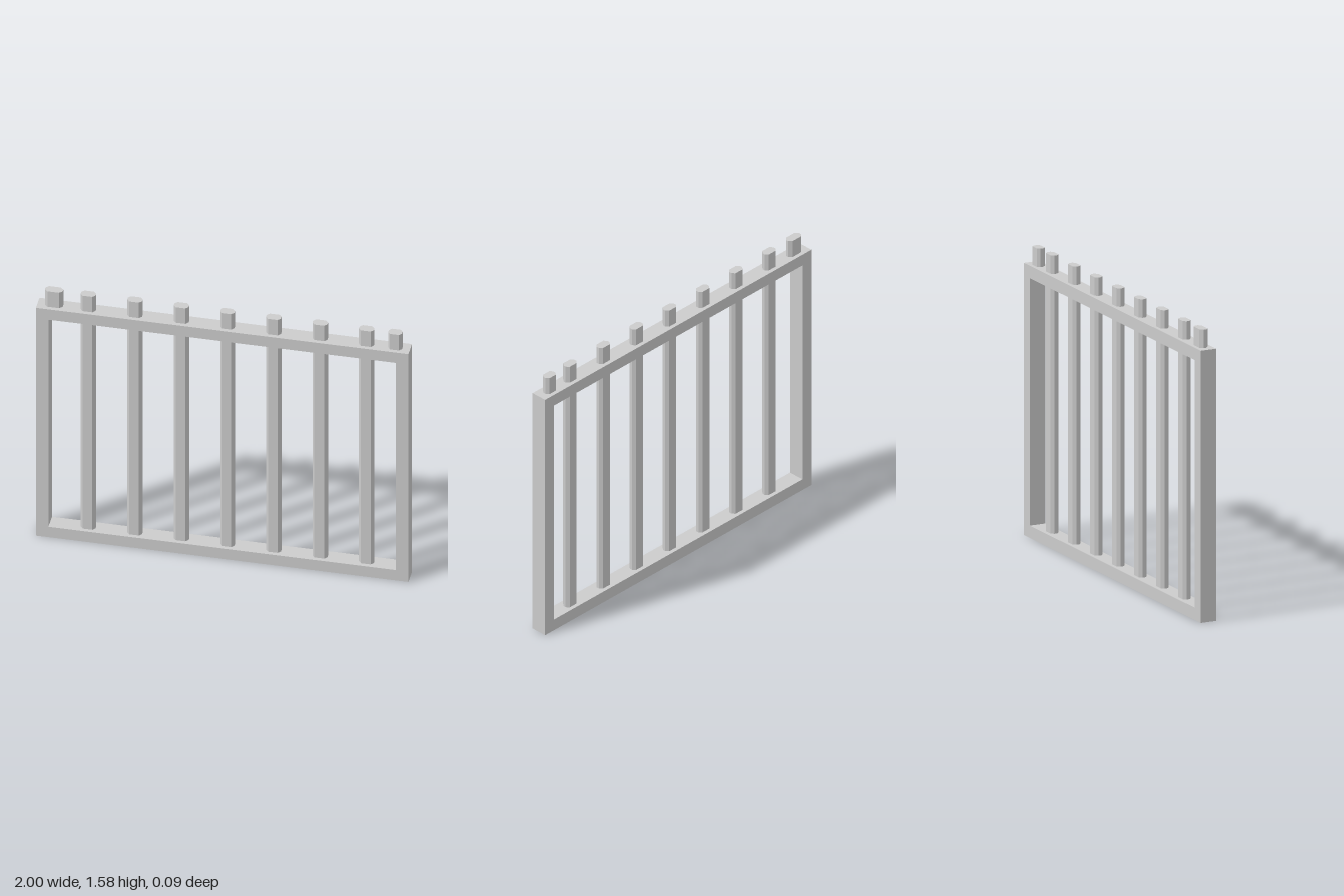
import * as THREE from 'three';

const W = 1, H = 1.48, T = 0.067, D = 0.046; // frame half width, height, thickness, half depth
const TOP = 1.58;

const material = new THREE.MeshStandardMaterial({ color: 0xcccccc, flatShading: true });

// Upright bar with a flattened eight-sided section
function bar(name, x, halfWidth, y0, y1) {
  const a = halfWidth, b = halfWidth * 0.65, d = 0.024, e = 0.008;
  const section = new THREE.Shape(
    [[a, -e], [a, e], [b, d], [-b, d], [-a, e], [-a, -e], [-b, -d], [b, -d]]
      .map(([px, py]) => new THREE.Vector2(px, py)));
  const geometry = new THREE.ExtrudeGeometry(section, { depth: y1 - y0, bevelEnabled: false });
  geometry.rotateX(-Math.PI / 2);
  const mesh = new THREE.Mesh(geometry, material);
  mesh.position.set(x, y0, 0);
  mesh.name = name;
  return mesh;
}

// Rectangular path for the frame outline and its opening
function rectangle(target, x0, y0, x1, y1) {
  target.moveTo(x0, y0).lineTo(x1, y0).lineTo(x1, y1).lineTo(x0, y1).closePath();
  return target;
}

export function createModel() {
  const group = new THREE.Group();
  group.name = 'barredGate';

  // Outer frame with one opening
  const outline = rectangle(new THREE.Shape(), -W, 0, W, H);
  outline.holes.push(rectangle(new THREE.Path(), -W + T, T, W - T, H - T));
  const frameGeometry = new THREE.ExtrudeGeometry(outline, { depth: 2 * D, bevelEnabled: false });
  frameGeometry.translate(0, 0, -D);
  const frame = new THREE.Mesh(frameGeometry, material);
  frame.name = 'frame';
  group.add(frame);

  // Seven evenly spaced bars that pass through the top rail
  for (let i = 0; i < 7; i++) {
    group.add(bar('bar' + (i + 1), -0.728 + i * 0.2492, 0.04, T / 2, TOP));
  }

  // Short stubs above the corner posts
  group.add(bar('rightStub', -0.912, 0.048, H - T / 2, TOP));
  group.add(bar('leftStub', 0.921, 0.037, H - T / 2, TOP));

  return group;
}
